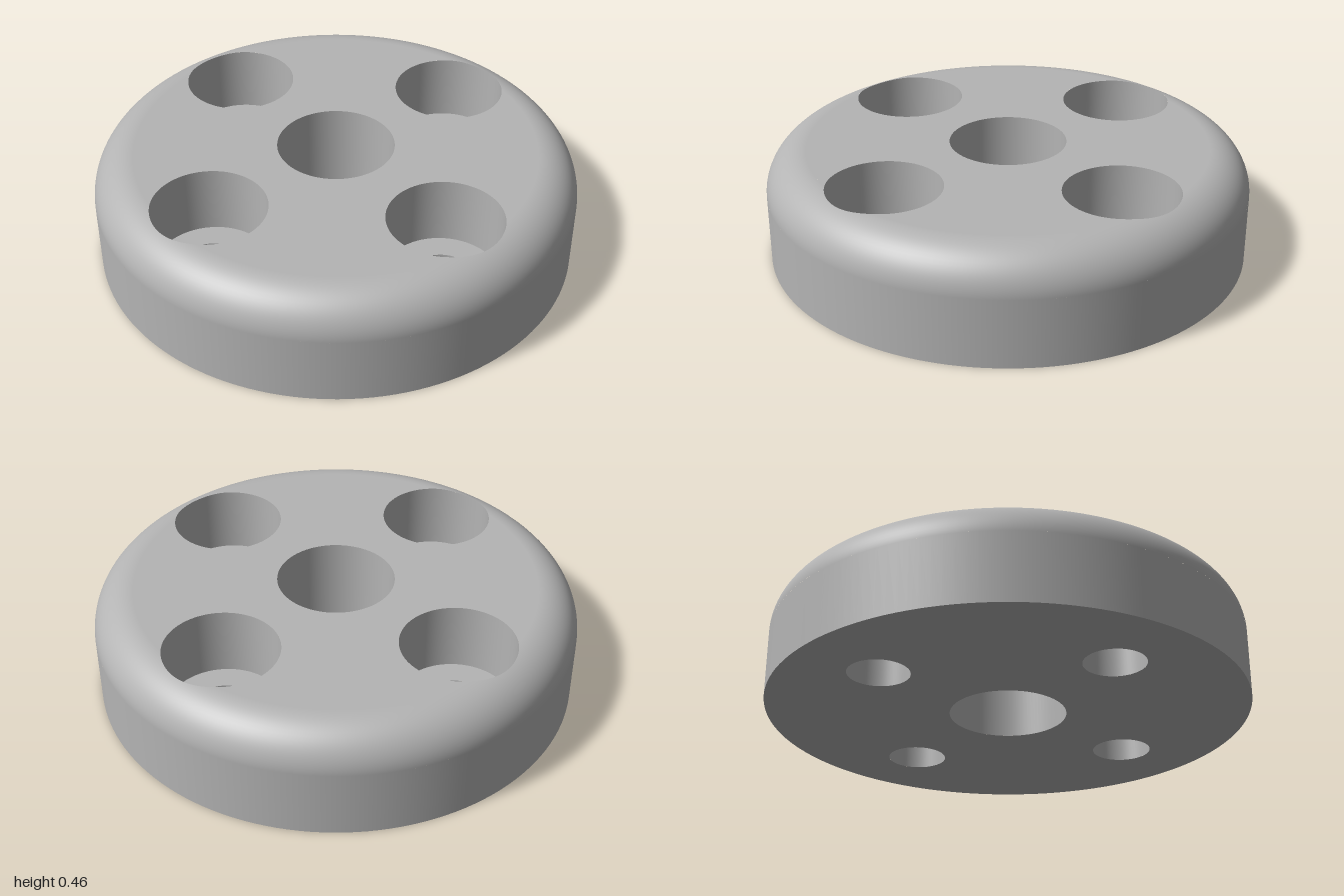
import * as THREE from 'three';

const H = 0.457;          // disc height
const FILLET = 0.17;      // top edge rounding
const FLAT = 1 - FILLET;  // radius of the flat top
const CENTRE_R = 0.242;   // central through hole
const OFFSET = 0.457;     // bolt hole position along x and z
const D = OFFSET * Math.SQRT2;
const BORE_R = 0.231;     // counterbore
const HOLE_R = 0.125;     // bolt hole
const FLOOR_Y = 0.17;     // counterbore floor
const Q = Math.PI / 4;

// where a counterbore crosses the flat's edge: angle seen from the disc centre and from the bore centre
const ALPHA = Math.acos((FLAT * FLAT + D * D - BORE_R * BORE_R) / (2 * FLAT * D));
const BETA = Math.acos((FLAT * Math.cos(ALPHA) - D) / BORE_R);

// height of the top surface at a given radius
function topHeight(r) {
  const t = Math.max(0, r - FLAT);
  return H - FILLET + Math.sqrt(Math.max(0, FILLET * FILLET - t * t));
}

// revolved band between two profile points; the left-to-right order sets the facing side
function band(r0, y0, r1, y1, segments = 96) {
  return new THREE.LatheGeometry([new THREE.Vector2(r0, y0), new THREE.Vector2(r1, y1)], segments);
}

function circlePath(x, y, r) {
  return new THREE.Path().absarc(x, y, r, 0, Math.PI * 2, true);
}

// rounded edge, its inner border following the counterbores that cut into it
function filletGeometry() {
  const angles = [];
  for (let k = 0; k < 4; k++) {
    const mid = Q + k * 2 * Q;
    for (let i = 0; i < 24; i++) angles.push(mid - ALPHA + (2 * ALPHA * i) / 24);
    for (let i = 0; i < 30; i++) angles.push(mid + ALPHA + ((2 * Q - 2 * ALPHA) * i) / 30);
  }
  angles.push(angles[0] + Math.PI * 2);
  const rows = 16, cols = angles.length - 1;
  const geo = new THREE.PlaneGeometry(1, 1, cols, rows);
  const { position, normal } = geo.attributes;
  angles.forEach((a, i) => {
    const t = i < cols ? (a - Q + ALPHA) % (2 * Q) - ALPHA : -ALPHA;
    let inner = FLAT;
    if (Math.abs(t) < ALPHA) {
      const s = D * Math.sin(t);
      inner = Math.max(FLAT, D * Math.cos(t) + Math.sqrt(BORE_R * BORE_R - s * s));
    }
    const start = Math.asin((inner - FLAT) / FILLET);
    for (let j = 0; j <= rows; j++) {
      const p = start + (Math.PI / 2 - start) * (j / rows);
      const n = j * (cols + 1) + i;
      const r = FLAT + FILLET * Math.sin(p);
      position.setXYZ(n, r * Math.sin(a), H - FILLET + FILLET * Math.cos(p), r * Math.cos(a));
      normal.setXYZ(n, Math.sin(p) * Math.sin(a), Math.cos(p), Math.sin(p) * Math.cos(a));
    }
  });
  return geo;
}

// flat top, notched by the four counterbores
function topGeometry() {
  const shape = new THREE.Shape();
  for (let k = 0; k < 4; k++) {
    const mid = Q + k * 2 * Q;
    shape.absarc(D * Math.cos(mid), D * Math.sin(mid), BORE_R, mid - BETA, mid + BETA, true);
    shape.absarc(0, 0, FLAT, mid + ALPHA, mid + 2 * Q - ALPHA, false);
  }
  shape.holes.push(circlePath(0, 0, CENTRE_R));
  return new THREE.ShapeGeometry(shape, 48).rotateX(-Math.PI / 2).translate(0, H, 0);
}

// flat underside with five round holes
function bottomGeometry() {
  const shape = new THREE.Shape().absarc(0, 0, 1, 0, Math.PI * 2, false);
  shape.holes.push(circlePath(0, 0, CENTRE_R));
  for (const x of [-OFFSET, OFFSET]) {
    for (const y of [-OFFSET, OFFSET]) shape.holes.push(circlePath(x, y, HOLE_R));
  }
  return new THREE.ShapeGeometry(shape, 72).rotateX(Math.PI / 2);
}

export function createModel() {
  const model = new THREE.Group();
  model.name = 'drilledDisc';
  const grey = new THREE.MeshStandardMaterial({ color: 0xb4b4b4 });
  grey.name = 'grey';

  const add = (name, geometry, parent = model) => {
    const mesh = new THREE.Mesh(geometry, grey);
    mesh.name = name;
    parent.add(mesh);
  };

  // disc body
  add('outerWall', band(1, 0, 1, H - FILLET, 144));
  add('roundedEdge', filletGeometry());
  add('topFace', topGeometry());
  add('bottomFace', bottomGeometry());
  add('centreHoleWall', band(CENTRE_R, H, CENTRE_R, 0));

  // four counterbored bolt holes
  for (const x of [-OFFSET, OFFSET]) {
    for (const z of [-OFFSET, OFFSET]) {
      const hole = new THREE.Group();
      hole.name = 'boltHole';
      hole.position.set(x, 0, z);
      const wall = band(BORE_R, H, BORE_R, FLOOR_Y);
      const p = wall.attributes.position;
      // lower the rim where it meets the rounded edge
      for (let i = 0; i < p.count; i++) {
        if (p.getY(i) > FLOOR_Y + 0.01) p.setY(i, topHeight(Math.hypot(p.getX(i) + x, p.getZ(i) + z)));
      }
      add('counterboreWall', wall, hole);
      add('counterboreFloor', band(BORE_R, FLOOR_Y, HOLE_R, FLOOR_Y), hole);
      add('boltHoleWall', band(HOLE_R, FLOOR_Y, HOLE_R, 0, 64), hole);
      model.add(hole);
    }
  }
  return model;
}
